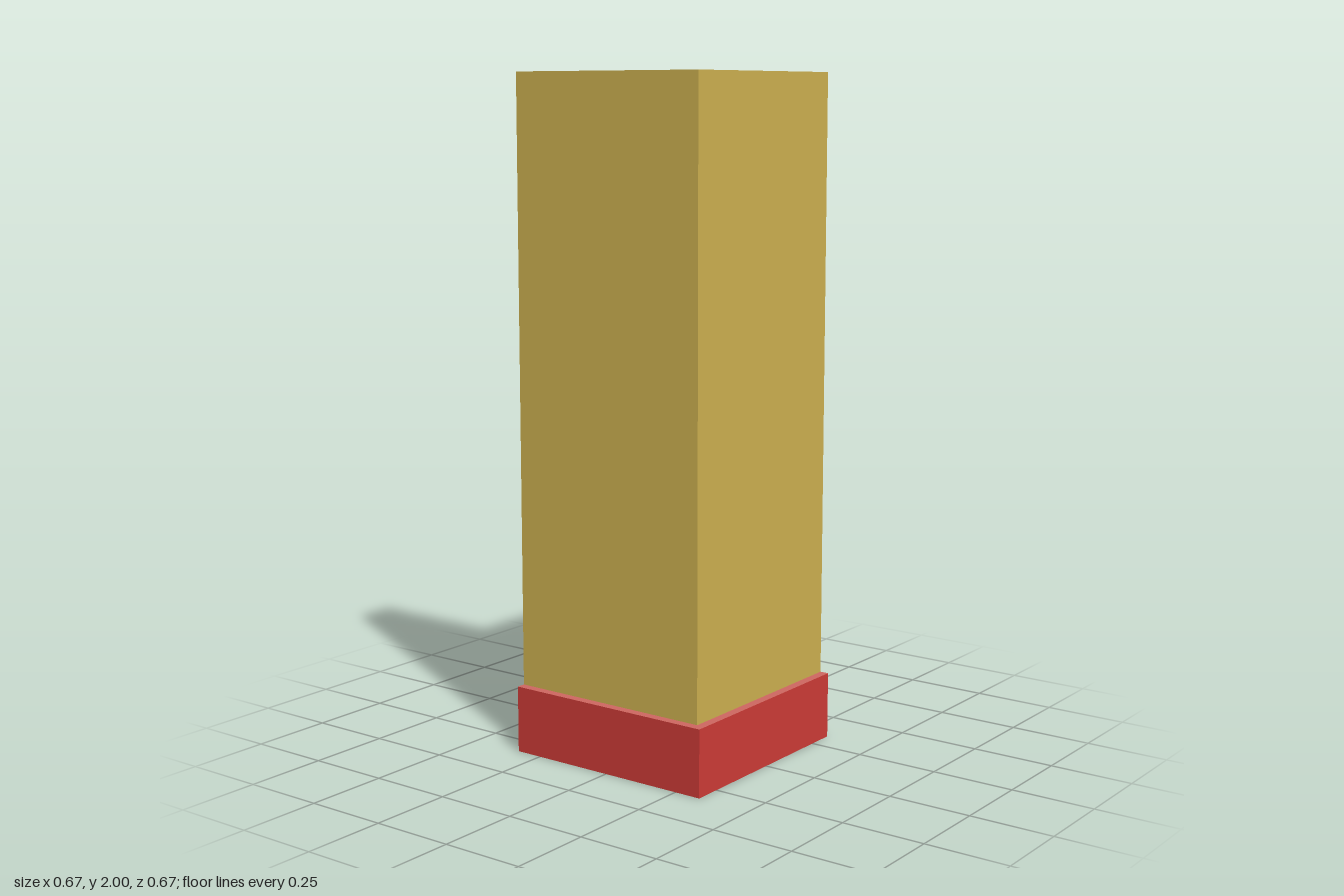
import * as THREE from 'three';

const END = 0.333; // where both arms are cut off

const paint = (name, color) => {
  const m = new THREE.MeshStandardMaterial({ color, side: THREE.DoubleSide });
  m.name = name;
  return m;
};

// L-shaped plan (x, -z), counter-clockwise from above; o = outer faces, i = inner faces
const plan = (o, i) =>
  [[-o, -o], [END, -o], [END, -i], [-i, -i], [-i, END], [-o, END]].map(([x, y]) => new THREE.Vector2(x, y));

// Upright walls along a closed plan, open at top and bottom
function walls(points, y0, y1) {
  const pos = [];
  points.forEach((a, k) => {
    const b = points[(k + 1) % points.length];
    const [p, q, r, s] = [[a.x, y0, -a.y], [b.x, y0, -b.y], [b.x, y1, -b.y], [a.x, y1, -a.y]];
    pos.push(...p, ...q, ...r, ...p, ...r, ...s);
  });
  const g = new THREE.BufferGeometry();
  g.setAttribute('position', new THREE.Float32BufferAttribute(pos, 3));
  g.computeVertexNormals();
  return g;
}

// Flat horizontal face facing up
const flat = (points, y) => new THREE.ShapeGeometry(new THREE.Shape(points)).rotateX(-Math.PI / 2).translate(0, y, 0);

export function createModel() {
  const group = new THREE.Group();
  const gold = paint('gold wall', 0xd0b351);
  const red = paint('red base', 0xd03c37);
  const paleRed = paint('pale red ledge', 0xd06861);
  const add = (name, geometry, material) => {
    const mesh = new THREE.Mesh(geometry, material);
    mesh.name = name;
    group.add(mesh);
  };

  const base = plan(0.333, 0.134);
  const column = plan(0.306, 0.16);
  const baseTop = 0.2;

  // Skirting base, open underneath
  add('baseWalls', walls(base, 0, baseTop), red);

  // Narrow ledges between base and column, outside and inside the corner
  const ledge = (k) => [...k.map((n) => base[n]), ...k.map((n) => column[n]).reverse()];
  add('outerLedge', flat(ledge([5, 0, 1]), baseTop), paleRed);
  add('innerLedge', flat(ledge([2, 3, 4]), baseTop), paleRed);

  // Tall corner column with its top
  add('columnWalls', walls(column, baseTop, 2), gold);
  add('columnTop', flat(column, 2), gold);

  return group;
}
